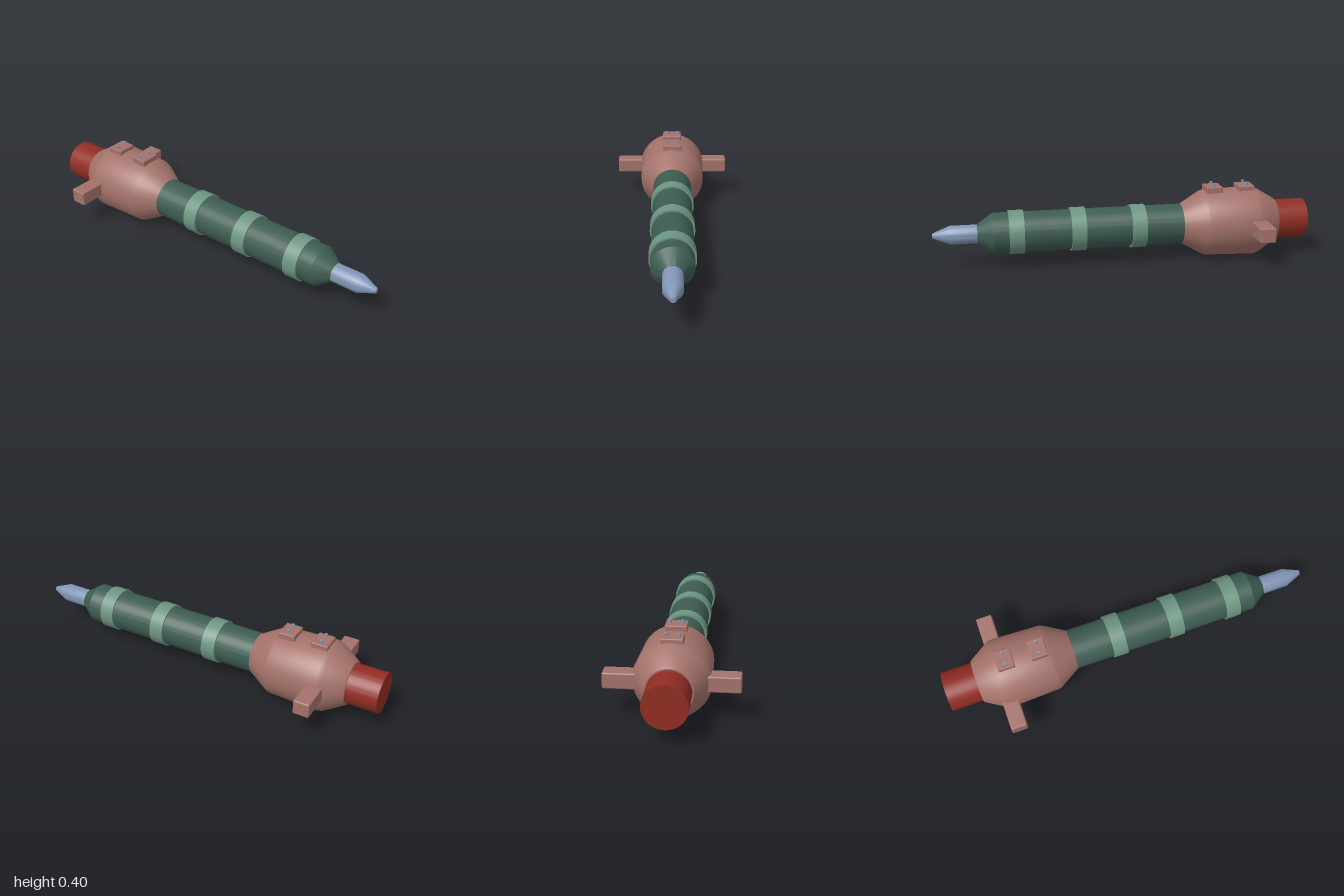
import * as THREE from 'three';
import { toCreasedNormals } from 'three/addons/utils/BufferGeometryUtils.js';
import { RoundedBoxGeometry } from 'three/addons/geometries/RoundedBoxGeometry.js';

const AXIS_Y = 0.188;

function paint(name, color) {
  const m = new THREE.MeshStandardMaterial({ color });
  m.name = name;
  return m;
}

export function createModel() {
  const mats = {
    clay: paint('dusty clay', 0xa3726a),
    green: paint('dark green', 0x3d5c52),
    sage: paint('sage green', 0x6d9582),
    steel: paint('steel blue', 0x8295b5),
    red: paint('brick red', 0x902d23),
  };
  const model = new THREE.Group();
  model.name = 'device';

  function add(name, geometry, material, x, y, z) {
    const mesh = new THREE.Mesh(geometry, material);
    mesh.name = name;
    mesh.position.set(x, y, z);
    model.add(mesh);
  }

  // Turned part along z; profile is [radius, z] from back to front
  function turned(name, profile, material) {
    const points = profile.map(([r, z]) => new THREE.Vector2(r, z));
    const geometry = new THREE.LatheGeometry(points, 64).rotateX(Math.PI / 2);
    add(name, toCreasedNormals(geometry, 0.48), material, 0, AXIS_Y, 0);
  }

  // Rear cap, housing, barrel and tip
  turned('rearCap', [[0, -1], [0.105, -1], [0.105, -0.82], [0, -0.82]], mats.red);
  turned('housing', [
    [0, -0.835], [0.112, -0.835], [0.118, -0.828], [0.178, -0.73], [0.186, -0.705],
    [0.177, -0.44], [0.172, -0.425], [0.106, -0.312], [0, -0.312],
  ], mats.clay);
  turned('barrel', [[0, -0.33], [0.106, -0.33], [0.106, 0.69], [0.05, 0.77], [0, 0.77]], mats.green);
  turned('tip', [[0, 0.76], [0.049, 0.76], [0.049, 0.91], [0.013, 1], [0, 1]], mats.steel);

  // Bands around the barrel
  for (const z of [-0.072, 0.248, 0.57]) {
    turned('band', [
      [0.104, z - 0.039], [0.115, z - 0.039], [0.115, z + 0.039], [0.104, z + 0.039],
    ], mats.sage);
  }

  // Side handles
  for (const side of [1, -1]) {
    add(side > 0 ? 'leftHandle' : 'rightHandle',
      new RoundedBoxGeometry(0.18, 0.079, 0.085, 3, 0.008), mats.clay, side * 0.231, 0.19, -0.701);
  }

  // Top pads, each with two pegs
  for (const z of [-0.487, -0.664]) {
    add('pad', new RoundedBoxGeometry(0.105, 0.05, 0.088, 3, 0.005), mats.clay, 0, 0.366, z);
    for (const x of [-0.031, 0.031]) {
      add('peg', new THREE.CylinderGeometry(0.0075, 0.0075, 0.03, 20), mats.steel, x, 0.391, z);
    }
  }

  return model;
}
